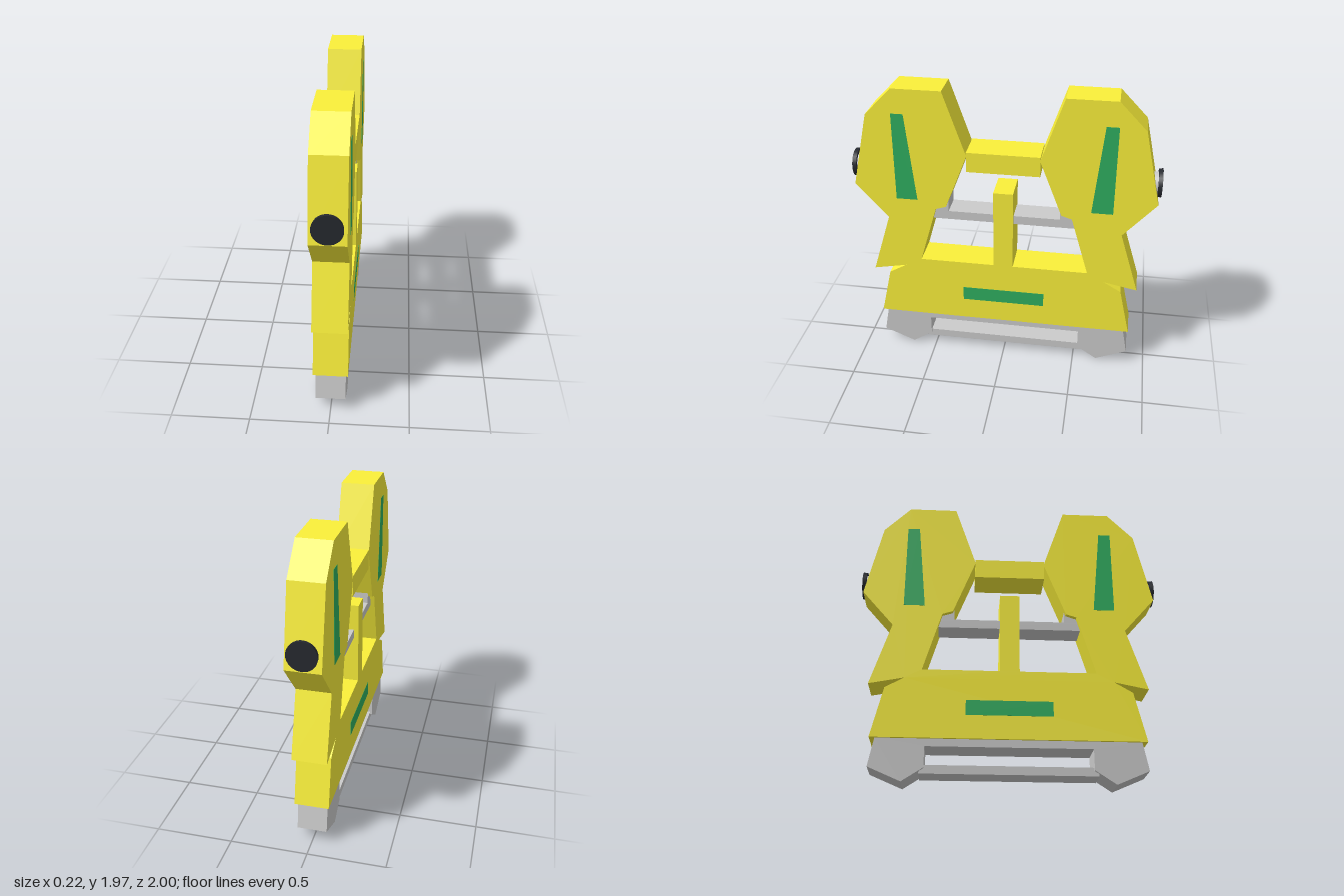
import * as THREE from 'three';

const mat = (color) => new THREE.MeshStandardMaterial({ color });

// Extrudes a (z, y) outline symmetrically across x
function slab(name, points, width, material) {
  const shape = new THREE.Shape(points.map(([z, y]) => new THREE.Vector2(z, y)));
  const geo = new THREE.ExtrudeGeometry(shape, { depth: width, bevelEnabled: false });
  geo.translate(0, 0, -width / 2).rotateY(-Math.PI / 2);
  const mesh = new THREE.Mesh(geo, material);
  mesh.name = name;
  return mesh;
}

// Box given by its width and its z and y ranges
function block(name, width, z0, z1, y0, y1, material) {
  const mesh = new THREE.Mesh(new THREE.BoxGeometry(width, y1 - y0, z1 - z0), material);
  mesh.position.set(0, (y0 + y1) / 2, (z0 + z1) / 2);
  mesh.name = name;
  return mesh;
}

// Completes a half outline with its mirror image in z
const mirrored = (half) => [...half, ...half.map(([z, y]) => [-z, y]).reverse()];

export function createModel() {
  const model = new THREE.Group();
  const yellow = mat(0xfaf03a), grey = mat(0xcccccc), black = mat(0x272a30), green = mat(0x2faf60);

  // Main body: base, two towers and centre post in one outline
  model.add(slab('body', mirrored([
    [0.875, 0.275], [0.80, 0.605], [0.68, 0.675], [0.905, 0.63], [0.775, 1.05],
    [0.985, 1.29], [0.875, 1.785], [0.70, 1.965], [0.38, 1.965], [0.235, 1.54],
    [0.38, 1.163], [0.45, 1.14], [0.568, 0.735], [0.065, 0.735], [0.065, 1.29],
  ]), 0.22, yellow));
  model.add(block('upperCrossbar', 0.22, -0.237, 0.237, 1.43, 1.565, yellow));

  // Underframe with two pointed feet
  model.add(slab('underframe', mirrored([
    [0.84, 0.278], [0.875, 0.09], [0.665, 0], [0.53, 0.09], [0.53, 0.225],
  ]), 0.19, grey));
  model.add(block('lowerRail', 0.16, -0.56, 0.56, 0.055, 0.11, grey));

  // Walkway between the towers
  model.add(block('walkway', 0.16, -0.5, 0.5, 1.055, 1.115, grey));

  for (const s of [1, -1]) {
    const end = s > 0 ? 'front' : 'back';
    const bracket = block(end + 'Bracket', 0.16, 0.37, 0.48, 1.1, 1.21, grey);
    bracket.position.z *= s;
    model.add(bracket);

    // Round lamp: grey neck and dark disc
    const lamp = new THREE.Group();
    lamp.name = end + 'Lamp';
    const neck = new THREE.Mesh(new THREE.CylinderGeometry(0.07, 0.07, 0.06, 32), grey);
    neck.name = 'lampNeck';
    neck.position.y = 0.955;
    const disc = new THREE.Mesh(new THREE.CylinderGeometry(0.093, 0.09, 0.026, 32), black);
    disc.name = 'lampDisc';
    disc.position.y = 0.987;
    lamp.add(neck, disc);
    lamp.rotation.x = s * Math.PI / 2;
    lamp.position.y = 1.395;
    model.add(lamp);

    // Tapered tower stripes, showing on both sides
    model.add(slab(end + 'Stripe',
      [[0.63, 1.8], [0.71, 1.8], [0.71, 1.2], [0.57, 1.2]].map(([z, y]) => [s * z, y]), 0.223, green));
  }

  // Base panel, showing on both sides
  model.add(block('basePanel', 0.223, -0.28, 0.28, 0.43, 0.53, green));
  return model;
}
